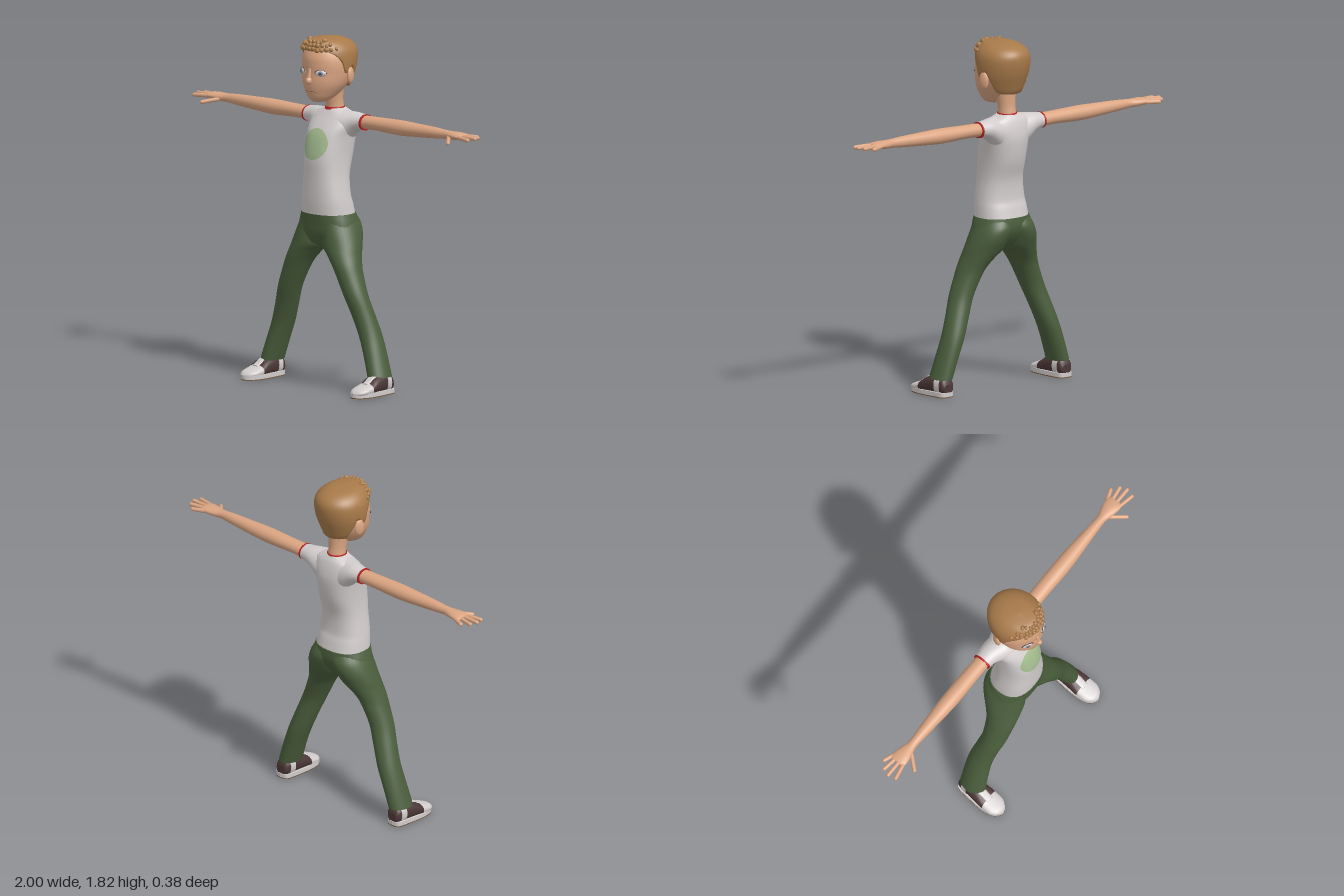
import * as THREE from 'three';

const paint = (name, color) => {
  const m = new THREE.MeshStandardMaterial({ color });
  m.name = name;
  return m;
};

// Catmull-Rom sample of a section table at fractional row u
function sample(rows, u) {
  const n = rows.length - 1, i = Math.min(Math.floor(u), n - 1), f = u - i;
  const r = k => rows[Math.max(0, Math.min(n, k))];
  return rows[i].map((_, c) => {
    const p0 = r(i - 1)[c], p1 = r(i)[c], p2 = r(i + 1)[c], p3 = r(i + 2)[c];
    return p1 + 0.5 * f * (p2 - p0 + f * (2 * p0 - 5 * p1 + 4 * p2 - p3 + f * (3 * (p1 - p2) + p3 - p0)));
  });
}
const dense = (rows, k = 4) =>
  Array.from({ length: (rows.length - 1) * k + 1 }, (_, i) => sample(rows, i / k));

// Point on a section [t, a0, a1, b0, b1]: t runs along the axis, a and b bound the section
function sectionPoint([t, a0, a1, b0, b1], axis, angle, power = 2) {
  const bend = v => Math.sign(v) * Math.abs(v) ** (2 / power);
  const p = [0, 0, 0];
  p[axis] = t;
  p[(axis + 2) % 3] = (a0 + a1) / 2 + (a1 - a0) / 2 * bend(Math.cos(angle));
  p[(axis + 1) % 3] = (b0 + b1) / 2 + (b1 - b0) / 2 * bend(Math.sin(angle));
  return p;
}

// Closed smooth skin over rings of points, with flat end caps
function skin(rings) {
  const n = rings[0].length, pos = rings.flat(2), index = [];
  for (let i = 0; i < rings.length - 1; i++) for (let j = 0; j < n; j++) {
    const a = i * n + j, b = i * n + (j + 1) % n, c = a + n, d = b + n;
    index.push(a, c, b, b, c, d);
  }
  [rings[0], rings[rings.length - 1]].forEach((ring, end) => {
    const base = pos.length / 3;
    const mid = [0, 1, 2].map(c => ring.reduce((s, p) => s + p[c], 0) / n);
    pos.push(...ring.flat(), ...mid);
    for (let j = 0; j < n; j++) {
      const p = base + j, q = base + (j + 1) % n;
      index.push(base + n, ...(end ? [q, p] : [p, q]));
    }
  });
  const g = new THREE.BufferGeometry();
  g.setAttribute('position', new THREE.Float32BufferAttribute(pos, 3));
  g.setIndex(index);
  g.computeVertexNormals();
  return g;
}
const skinRows = (rows, axis, power, seg = 32) => skin(rows.map(r =>
  Array.from({ length: seg }, (_, j) => sectionPoint(r, axis, j / seg * Math.PI * 2, power))));
const loft = (rows, axis, power) => skinRows(dense(rows), axis, power);
// Symmetric section rows: [y, half width, back z, front z]
const sym = rows => rows.map(([y, w, z0, z1]) => [y, -w, w, z0, z1]);

const ellipsoid = (rx, ry, rz, x, y, z, turn = 0) =>
  new THREE.SphereGeometry(1, 20, 14).scale(rx, ry, rz).rotateY(turn).translate(x, y, z);

function rod(from, to, radius) {
  const a = new THREE.Vector3(...from), d = new THREE.Vector3(...to).sub(a), len = d.length();
  const q = new THREE.Quaternion().setFromUnitVectors(new THREE.Vector3(0, 1, 0), d.clone().normalize());
  return new THREE.CapsuleGeometry(radius, len - radius, 5, 12).applyQuaternion(q)
    .translate(...a.addScaledVector(d, 0.5).toArray());
}

function mirrored(geo) {
  const g = geo.clone().scale(-1, 1, 1);
  const idx = g.index ? Array.from(g.index.array) : Array.from({ length: g.attributes.position.count }, (_, i) => i);
  g.setIndex(idx.reverse());
  return g;
}

export function createModel() {
  const model = new THREE.Group();
  model.name = 'standingBoy';
  const skinTone = paint('skin', 0xdba582), hairTone = paint('hair', 0xa87a4a);
  const white = paint('shirtWhite', 0xd2cccc), green = paint('paleGreen', 0xa3bb8e);
  const pants = paint('trouserGreen', 0x4a5e3c), dark = paint('shoeBrown', 0x4c3636);
  const red = paint('trimRed', 0xb5231f), iris = paint('irisGrey', 0x7f95a3);
  const lip = paint('lip', 0xa8705a), soleTone = paint('soleBrown', 0x7c5c40);
  const add = (name, geo, mat) => {
    const m = new THREE.Mesh(geo, mat);
    m.name = name;
    model.add(m);
  };
  const pair = (name, geo, mat) => {
    add(name + 'Left', geo, mat);
    add(name + 'Right', mirrored(geo), mat);
  };

  // Shirt body, sleeves and red trim
  const torso = sym([[0.885, 0.143, -0.145, 0.09], [0.95, 0.137, -0.13, 0.094], [1.0, 0.13, -0.117, 0.095],
    [1.1, 0.116, -0.12, 0.095], [1.2, 0.113, -0.15, 0.095], [1.3, 0.12, -0.165, 0.07],
    [1.36, 0.132, -0.16, 0.035], [1.41, 0.12, -0.145, -0.003], [1.435, 0.07, -0.13, -0.02], [1.442, 0.05, -0.125, -0.022]]);
  add('shirtBody', loft(torso, 1, 2.4), white);
  add('collar', skinRows(sym([[1.434, 0.053, -0.128, -0.017], [1.447, 0.05, -0.125, -0.021]]), 1), red);
  pair('sleeve', loft([[0.06, -0.15, 0.02, 1.24, 1.435], [0.1, -0.15, 0, 1.28, 1.432], [0.14, -0.146, -0.025, 1.32, 1.43],
    [0.175, -0.141, -0.038, 1.338, 1.425], [0.205, -0.137, -0.043, 1.343, 1.422]], 0), white);
  pair('sleeveTrim', skinRows([[0.2, -0.139, -0.041, 1.341, 1.424], [0.209, -0.139, -0.041, 1.341, 1.424]], 0), red);

  // Round chest patch laid onto the shirt surface
  const torsoRows = dense(torso, 12);
  const patch = new THREE.RingGeometry(0.0005, 0.08, 40, 8).translate(0, 1.265, 0);
  const pp = patch.attributes.position;
  for (let i = 0; i < pp.count; i++) {
    const k = torsoRows.findIndex(r => r[0] > pp.getY(i));
    const lo = torsoRows[k - 1], f = (pp.getY(i) - lo[0]) / (torsoRows[k][0] - lo[0]);
    const [, , w, z0, z1] = lo.map((v, c) => v + f * (torsoRows[k][c] - v));
    pp.setZ(i, (z0 + z1) / 2 + (z1 - z0) / 2 * (1 - Math.abs(pp.getX(i) / w) ** 2.4) ** (1 / 2.4) + 0.004);
  }
  patch.computeVertexNormals();
  add('chestPatch', patch, green);

  // Arms with palms and fingers
  pair('arm', loft([[0.18, -0.13, -0.05, 1.348, 1.418], [0.3, -0.132, -0.05, 1.35, 1.42], [0.45, -0.133, -0.048, 1.345, 1.424],
    [0.55, -0.13, -0.052, 1.35, 1.422], [0.7, -0.12, -0.062, 1.36, 1.418], [0.78, -0.115, -0.066, 1.367, 1.413],
    [0.82, -0.125, -0.058, 1.368, 1.412], [0.86, -0.135, -0.05, 1.372, 1.412], [0.895, -0.138, -0.048, 1.377, 1.408],
    [0.91, -0.128, -0.06, 1.384, 1.402]], 0), skinTone);
  [['littleFinger', [0.87, 1.39, -0.125], [0.945, 1.388, -0.153]], ['ringFinger', [0.88, 1.393, -0.107], [0.982, 1.391, -0.122]],
    ['middleFinger', [0.88, 1.394, -0.085], [0.997, 1.392, -0.085]], ['indexFinger', [0.88, 1.392, -0.063], [0.985, 1.388, -0.043]],
    ['thumb', [0.82, 1.383, -0.068], [0.885, 1.366, 0.004]]].forEach(([n, a, b]) => pair(n, rod(a, b, 0.0105), skinTone));

  // Trousers
  add('trouserSeat', loft(sym([[0.732, 0.02, -0.05, 0.03], [0.75, 0.1, -0.09, 0.065], [0.8, 0.168, -0.13, 0.086],
    [0.85, 0.166, -0.15, 0.09], [0.902, 0.147, -0.148, 0.094]]), 1, 2.3), pants);
  pair('trouserLeg', loft([[0.09, 0.333, 0.437, -0.08, 0.065], [0.2, 0.294, 0.402, -0.082, 0.055], [0.3, 0.253, 0.368, -0.08, 0.05],
    [0.4, 0.212, 0.333, -0.065, 0.06], [0.5, 0.17, 0.297, -0.052, 0.078], [0.6, 0.12, 0.258, -0.062, 0.087],
    [0.65, 0.088, 0.24, -0.075, 0.09], [0.7, 0.045, 0.222, -0.1, 0.09], [0.74, 0.005, 0.21, -0.122, 0.088],
    [0.8, -0.01, 0.188, -0.15, 0.083], [0.85, -0.03, 0.167, -0.157, 0.08], [0.89, -0.03, 0.147, -0.14, 0.08]], 1), pants);

  // Shoes: brown upper, white toe, stripe and tongue, white rim, brown sole
  const shoe = dense([[-0.078, 0.02, 0.07, 0.362, 0.418], [-0.06, 0.012, 0.1, 0.348, 0.43], [0, 0.01, 0.11, 0.342, 0.44],
    [0.06, 0.01, 0.095, 0.338, 0.447], [0.1, 0.01, 0.07, 0.336, 0.45], [0.15, 0.01, 0.052, 0.34, 0.448],
    [0.18, 0.01, 0.04, 0.36, 0.43], [0.195, 0.015, 0.025, 0.385, 0.405]]);
  pair('shoeUpper', skinRows(shoe.slice(0, 17), 2, 2.3), dark);
  pair('shoeToe', skinRows(shoe.slice(16), 2, 2.3), white);
  pair('shoeStripe', skinRows(shoe.slice(5, 8).map(([z, a, b, c, d]) => [z, a, b + 0.003, c - 0.003, d + 0.003]), 2, 2.3), white);
  pair('shoeTongue', skinRows(shoe.slice(8, 18).map(([z, , b]) => [z, b - 0.02, b + 0.005, 0.372, 0.415]), 2, 3), white);
  const outline = new THREE.Shape();
  outline.moveTo(0.392, -0.082);
  outline.splineThru([[0.43, -0.068], [0.442, 0], [0.451, 0.09], [0.444, 0.15], [0.42, 0.185], [0.393, 0.197],
    [0.365, 0.185], [0.341, 0.15], [0.334, 0.09], [0.34, 0], [0.353, -0.068], [0.392, -0.082]].map(p => new THREE.Vector2(...p)));
  const slab = (y, depth) => new THREE.ExtrudeGeometry(outline, { depth, bevelEnabled: false, curveSegments: 48 })
    .rotateX(Math.PI / 2).translate(0, y, 0);
  pair('shoeRim', slab(0.027, 0.022), white);
  pair('shoeSole', slab(0.005, 0.005), soleTone);

  // Neck, head and ears
  add('neck', loft(sym([[1.4, 0.05, -0.125, -0.03], [1.45, 0.046, -0.12, -0.025], [1.49, 0.046, -0.115, -0.018],
    [1.56, 0.055, -0.115, 0]]), 1), skinTone);
  add('head', loft(sym([[1.483, 0.015, 0.03, 0.06], [1.49, 0.042, -0.01, 0.083], [1.51, 0.068, -0.05, 0.1],
    [1.54, 0.092, -0.09, 0.109], [1.57, 0.111, -0.115, 0.114], [1.6, 0.123, -0.135, 0.115], [1.64, 0.132, -0.155, 0.112],
    [1.68, 0.135, -0.165, 0.113], [1.72, 0.13, -0.17, 0.11], [1.76, 0.115, -0.155, 0.092], [1.79, 0.085, -0.12, 0.06],
    [1.805, 0.04, -0.07, 0.01]]), 1), skinTone);
  pair('ear', ellipsoid(0.014, 0.045, 0.028, 0.134, 1.625, -0.05, 0.3), skinTone);

  // Face
  const turn = 0.5, facing = d => [0.063 + Math.sin(turn) * d, 1.643, 0.0945 + Math.cos(turn) * d, turn];
  pair('eye', ellipsoid(0.03, 0.016, 0.011, ...facing(0)), white);
  pair('iris', ellipsoid(0.013, 0.0135, 0.004, ...facing(0.0095)), iris);
  pair('pupil', ellipsoid(0.006, 0.006, 0.002, ...facing(0.0128)), dark);
  pair('upperLid', new THREE.TorusGeometry(0.031, 0.0022, 6, 24, Math.PI).scale(1, 0.55, 1).rotateY(turn)
    .translate(0.064, 1.643, 0.097), dark);
  add('nose', ellipsoid(0.016, 0.02, 0.022, 0, 1.6, 0.116), skinTone);
  add('noseBridge', rod([0, 1.66, 0.108], [0, 1.6, 0.122], 0.009), skinTone);
  add('mouth', new THREE.TubeGeometry(new THREE.CatmullRomCurve3([[-0.04, 1.543, 0.1], [-0.02, 1.546, 0.108], [0, 1.545, 0.11],
    [0.02, 1.546, 0.108], [0.04, 1.543, 0.1]].map(p => new THREE.Vector3(...p))), 24, 0.003, 6), lip);

  // Hair cap rising from a hairline that dips at the sideburns and nape
  const hair = dense(sym([[1.53, 0.1, -0.125, 0.1], [1.6, 0.126, -0.152, 0.118], [1.66, 0.139, -0.174, 0.119],
    [1.72, 0.14, -0.185, 0.118], [1.76, 0.13, -0.18, 0.114], [1.79, 0.106, -0.152, 0.1], [1.81, 0.07, -0.1, 0.075],
    [1.819, 0.008, -0.02, 0]]), 6);
  const hairline = [[-1, 1.55], [-0.65, 1.56], [-0.45, 1.62], [-0.22, 1.68], [-0.05, 1.64], [0.12, 1.64],
    [0.28, 1.7], [0.5, 1.735], [0.8, 1.762], [1.001, 1.755]];
  const lineAt = s => {
    const k = Math.max(1, hairline.findIndex(h => h[0] > s)), [s0, y0] = hairline[k - 1], [s1, y1] = hairline[k];
    return y0 + (y1 - y0) * (s - s0) / (s1 - s0);
  };
  const rowOf = y => {
    const k = hair.findIndex(r => r[0] > y);
    return k - 1 + (y - hair[k - 1][0]) / (hair[k][0] - hair[k - 1][0]);
  };
  const seg = 72, steps = 20, rings = [];
  for (let i = -1; i <= steps; i++) rings.push(Array.from({ length: seg }, (_, j) => {
    const angle = j / seg * Math.PI * 2, u0 = rowOf(lineAt(Math.sin(angle)));
    const p = sectionPoint(sample(hair, u0 + (hair.length - 1 - u0) * Math.max(0, i) / steps), 1, angle);
    return i < 0 ? [p[0] * 0.88, p[1], -0.03 + (p[2] + 0.03) * 0.88] : p;
  }));
  add('hairCap', skin(rings), hairTone);

  // Short curls along the fringe
  let seed = 7;
  const rand = () => (seed = (seed * 16807) % 2147483647) / 2147483647;
  [[1.765, 13, 0.45], [1.785, 11, 0.6], [1.803, 8, 0.75]].forEach(([y, count, start]) => {
    for (let i = 0; i < count; i++) {
      const angle = start + (Math.PI - 2 * start) * (i + 0.3 * rand()) / (count - 0.7);
      const p = sectionPoint(sample(hair, rowOf(y + (rand() - 0.5) * 0.01)), 1, angle);
      const r = 0.009 + 0.004 * rand();
      add('curl', new THREE.SphereGeometry(r, 10, 8).scale(0.9, 1.1, 1.2).rotateY(rand() * 3)
        .translate(p[0], p[1], p[2]), hairTone);
    }
  });
  return model;
}
